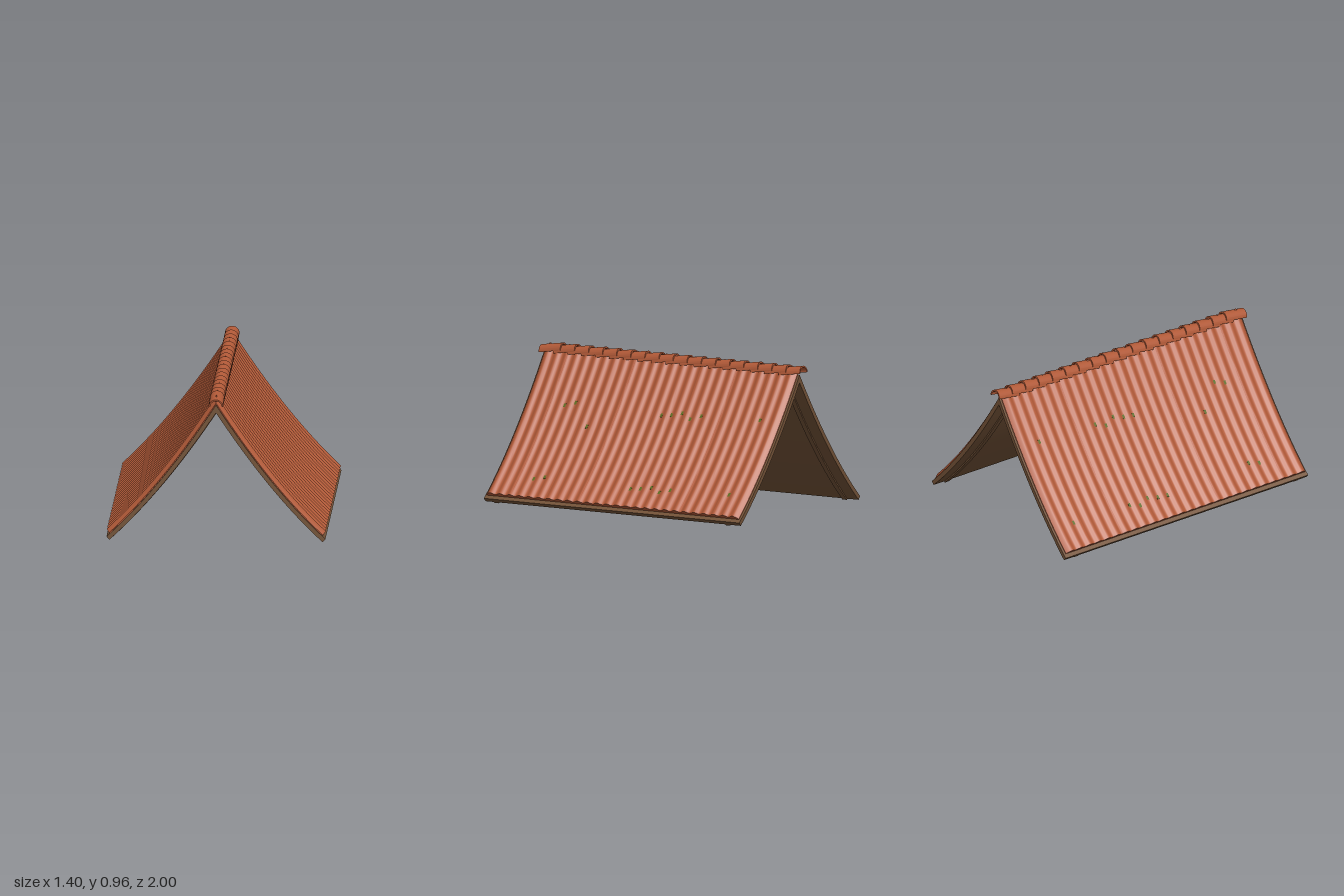
import * as THREE from 'three';
import { toCreasedNormals } from 'three/addons/utils/BufferGeometryUtils.js';

const STEPS = 14;            // samples down each slope
const WAVES = 26;            // tile columns along the roof
const Z0 = -0.955, Z1 = 0.975;

const slopeAt = (x) => 1.558 - 0.9 * x;

// Point on the sagging slope (x >= 0), pushed out along its normal.
function slopePoint(x, offset, side = 1) {
  const m = slopeAt(x), len = Math.hypot(m, 1);
  const y = 0.9 - 1.558 * x + 0.45 * x * x;
  if (x === 0) return [0, y + offset * len];
  return [side * (x + offset * m / len), y + offset / len];
}

// Line from the left eave over the apex to the right eave.
function roofLine(xEnd, offset) {
  const pts = [];
  for (let i = -STEPS; i <= STEPS; i++) {
    pts.push(slopePoint(Math.abs(i) / STEPS * xEnd, offset, Math.sign(i)));
  }
  return pts;
}

// Solid chevron between two offsets, running from zA to zB.
function chevron(top, bottom, zA, zB) {
  const loop = [...roofLine(0.7, bottom), ...roofLine(0.7, top).reverse()];
  const shape = new THREE.Shape(loop.map(([x, y]) => new THREE.Vector2(x, y)));
  const geo = new THREE.ExtrudeGeometry(shape, { depth: zB - zA, bevelEnabled: false });
  geo.translate(0, 0, zA);
  return toCreasedNormals(geo, 0.5);
}

// Wavy tile covering, lofted along z with rounded ends.
function tileGeometry() {
  const n = 2 * STEPS + 1, L = 2 * n, rows = WAVES * 8;
  const pos = [], idx = [];
  for (let r = 0; r <= rows; r++) {
    const u = r / rows, z = Z0 + (Z1 - Z0) * u;
    const d = Math.min(1, Math.min(z - Z0, Z1 - z) / 0.04);
    const round = 0.35 + 0.65 * Math.sqrt(Math.max(0, 1 - (1 - d) ** 2));
    const h = (0.023 - 0.007 * Math.cos(2 * Math.PI * WAVES * u)) * round;
    const loop = [...roofLine(0.68, h), ...roofLine(0.68, 0).reverse()];
    for (const [x, y] of loop) pos.push(x, y, z);
  }
  for (let r = 0; r < rows; r++) {
    for (let i = 0; i < L; i++) {
      const a = r * L + i, b = r * L + (i + 1) % L;
      idx.push(a, a + L, b, b, a + L, b + L);
    }
  }
  const last = rows * L;
  for (let i = 0; i < n - 1; i++) {
    const o = i, p = i + 1, lo = L - 1 - i, lp = L - 2 - i;
    idx.push(last + lo, last + lp, last + p, last + lo, last + p, last + o);
    idx.push(lo, p, lp, lo, o, p);
  }
  const geo = new THREE.BufferGeometry();
  geo.setAttribute('position', new THREE.Float32BufferAttribute(pos, 3));
  geo.setIndex(idx);
  return toCreasedNormals(geo, 0.7);
}

// Half-round ridge tile, one end at z = 0, running towards -z.
function ridgeGeometry(length) {
  const s = new THREE.Shape();
  s.absarc(0, 0, 0.046, 0, Math.PI, false);
  s.absarc(0, 0, 0.036, Math.PI, 0, true);
  const geo = new THREE.ExtrudeGeometry(s, { depth: length, bevelEnabled: false, curveSegments: 12 });
  geo.translate(0, 0, -length);
  return toCreasedNormals(geo, 0.6);
}

export function createModel() {
  const terracotta = new THREE.MeshStandardMaterial({ color: 0xb25a38 });
  terracotta.name = 'terracotta';
  const wood = new THREE.MeshStandardMaterial({ color: 0x745338 });
  wood.name = 'wood';
  const green = new THREE.MeshStandardMaterial({ color: 0x5c6b1e });
  green.name = 'moss green';

  const roof = new THREE.Group();
  roof.name = 'roof';
  const add = (name, geo, mat, parent = roof) => {
    const mesh = new THREE.Mesh(geo, mat);
    mesh.name = name;
    parent.add(mesh);
    return mesh;
  };

  // Wooden deck, with a rafter below each end
  add('deck', chevron(0, -0.028, -0.97, 0.985), wood);
  add('frontRafter', chevron(-0.02, -0.037, 0.885, 0.92), wood);
  add('backRafter', chevron(-0.02, -0.037, -0.885, -0.85), wood);

  // Tiles on both slopes
  add('tiles', tileGeometry(), terracotta);

  // Overlapping ridge tiles, each rising towards the back
  const ridge = new THREE.Group();
  ridge.name = 'ridge';
  roof.add(ridge);
  const count = 18, length = 0.166, pitch = (2 - length) / (count - 1);
  const ridgeGeo = ridgeGeometry(length);
  for (let k = 0; k < count; k++) {
    const tile = add('ridgeTile', ridgeGeo, terracotta, ridge);
    tile.position.set(0, 0.892, 0.997 - k * pitch);
    tile.rotation.x = 0.14;
  }

  // Moss tufts in the valleys between tile columns: [x, zFrom, zTo]
  const moss = new THREE.Group();
  moss.name = 'moss';
  roof.add(moss);
  const patches = [
    [0.21, 0.6, 0.7], [0.21, -0.42, -0.02], [0.21, -0.85, -0.74], [0.3, 0.4, 0.46],
    [0.57, 0.57, 0.7], [0.57, -0.4, 0.0], [0.57, -0.88, -0.8],
  ];
  const tuftGeo = new THREE.BoxGeometry(0.026, 0.006, 0.016);
  for (const [x, from, to] of patches) {
    for (let k = 1; k < WAVES; k++) {
      const z = Z0 + (Z1 - Z0) * k / WAVES;
      if (z < from || z > to) continue;
      for (const side of [1, -1]) {
        const xk = x + 0.012 * Math.sin(k * 2.3);
        const [px, py] = slopePoint(xk, 0.0155, side);
        const tuft = add('mossTuft', tuftGeo, green, moss);
        tuft.position.set(px, py, z);
        tuft.rotation.z = -side * Math.atan(slopeAt(xk));
      }
    }
  }
  return roof;
}
